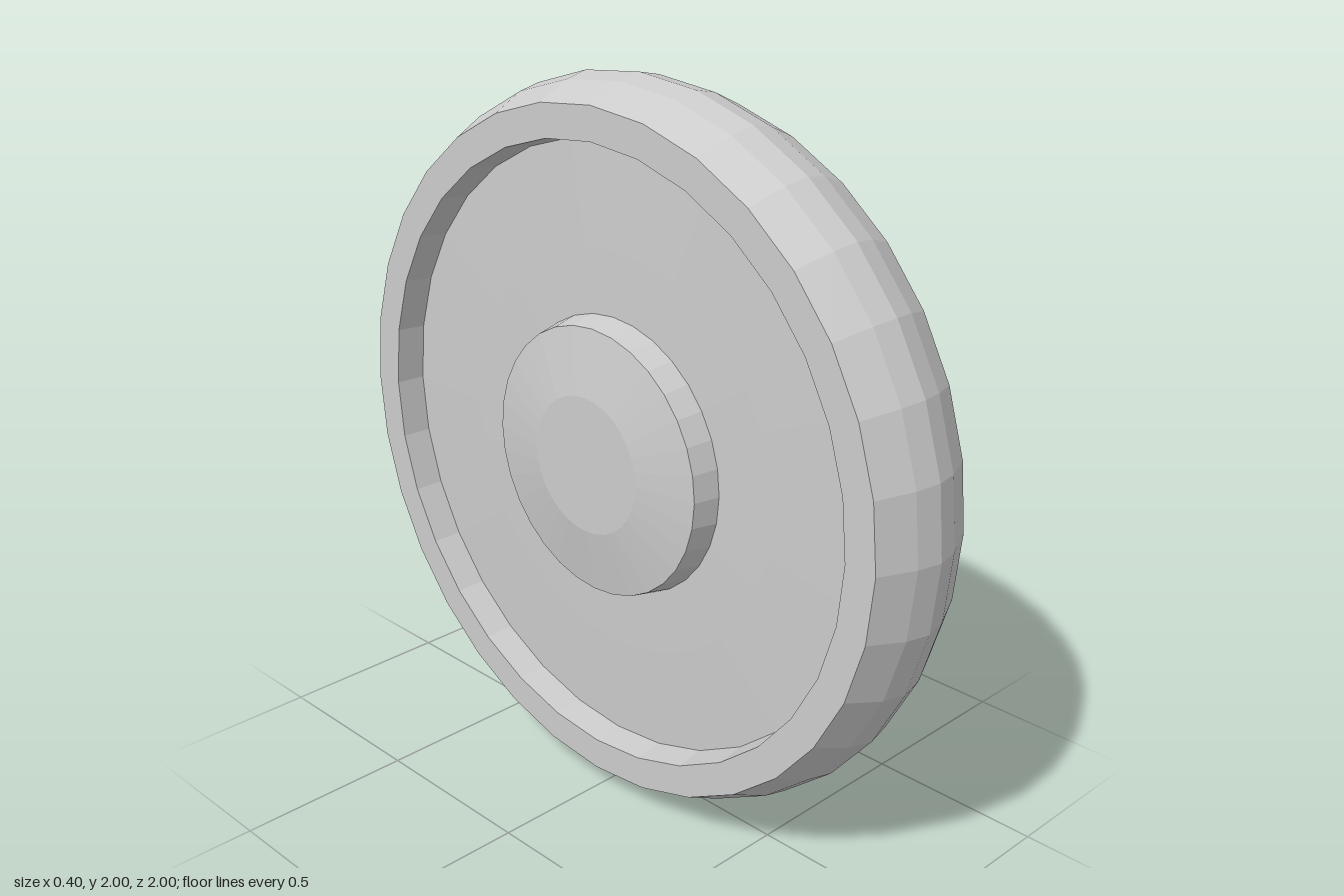
import * as THREE from 'three';

const SIDES = 32;

// Turns half a profile of [radius, x] points, mirrored across x = 0, about the x axis.
function turnedPart(name, half, material) {
  const mirrored = half.filter(([, x]) => x > 0).reverse().map(([r, x]) => [r, -x]);
  const points = [...mirrored, ...half].map(([r, x]) => new THREE.Vector2(r, x));
  const geometry = new THREE.LatheGeometry(points, SIDES);
  geometry.rotateZ(-Math.PI / 2);
  const mesh = new THREE.Mesh(geometry, material);
  mesh.name = name;
  mesh.position.y = 1;
  return mesh;
}

export function createModel() {
  const group = new THREE.Group();
  group.name = 'wheel';
  const material = new THREE.MeshStandardMaterial({ color: 0xcccccc, flatShading: true });

  // Rounded tread, flat sidewall and the inner wall of the recess
  group.add(turnedPart('tyre', [
    [1, 0], [0.985, 0.07], [0.94, 0.168], [0.85, 0.168], [0.84, 0.085],
  ], material));

  // Slightly domed disc set back inside the tyre
  group.add(turnedPart('disc', [
    [0.84, 0.085], [0.7, 0.089], [0.56, 0.093], [0.38, 0.096],
  ], material));

  // Raised hub with a shallow domed cap on each side
  group.add(turnedPart('hub', [
    [0.385, 0.096], [0.37, 0.17], [0.19, 0.2], [0, 0.2],
  ], material));

  return group;
}
